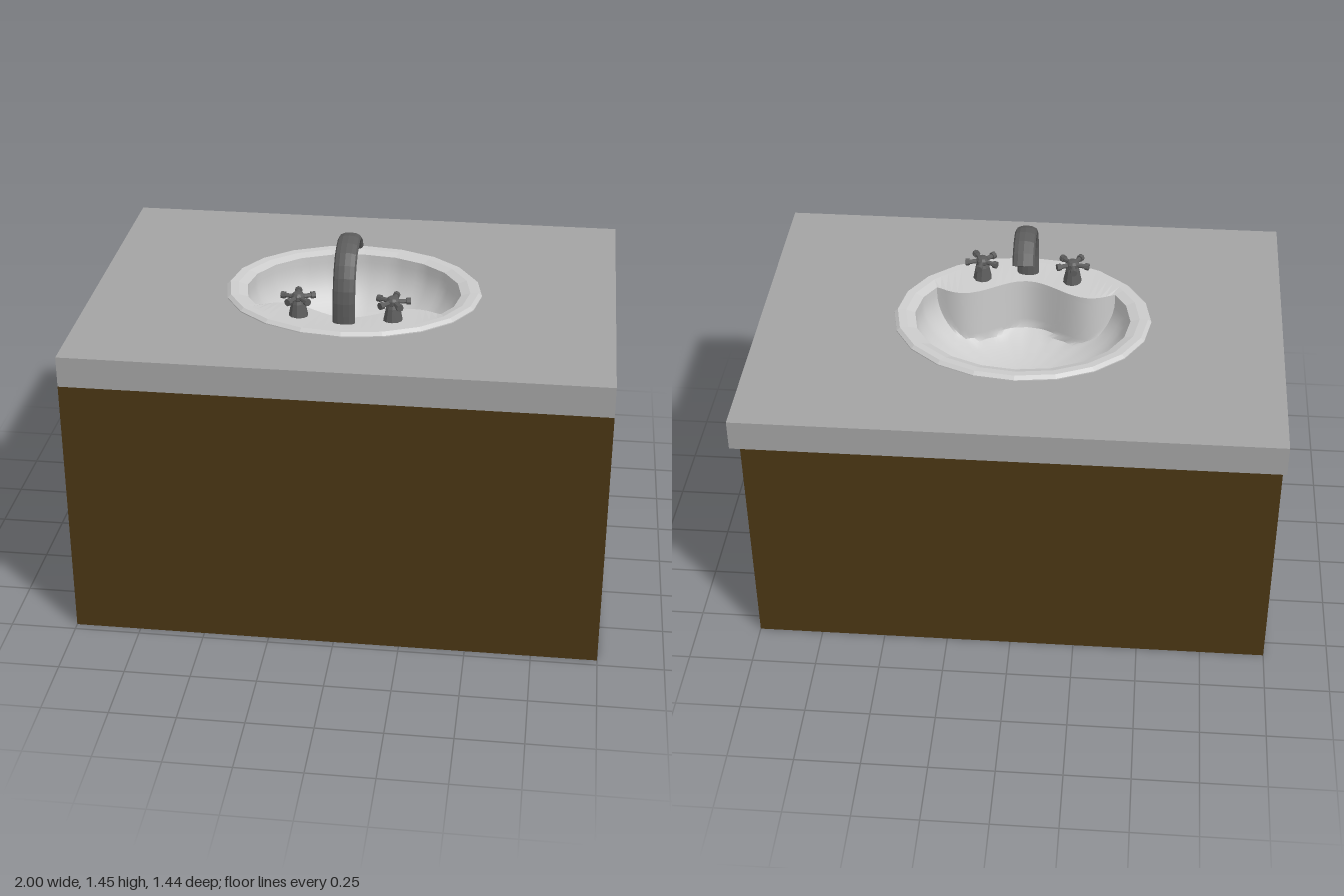
import * as THREE from 'three';
import { toCreasedNormals } from 'three/addons/utils/BufferGeometryUtils.js';

const SINK_X = -0.005, SINK_Z = 0.02, TOP = 1.155;

function material(color, flatShading = false, side = THREE.FrontSide) {
  return new THREE.MeshStandardMaterial({ color, flatShading, side });
}

function addMesh(parent, name, geometry, mat) {
  const mesh = new THREE.Mesh(geometry, mat);
  mesh.name = name;
  parent.add(mesh);
  return mesh;
}

// Skin a list of closed rings, each an array of [x, y, z]
function loft(rings) {
  const n = rings[0].length, index = [];
  for (let i = 0; i < rings.length - 1; i++) {
    for (let j = 0; j < n; j++) {
      const k = (j + 1) % n;
      const a = i * n + j, b = i * n + k, c = a + n, d = b + n;
      index.push(a, c, b, b, c, d);
    }
  }
  const geometry = new THREE.BufferGeometry();
  geometry.setAttribute('position', new THREE.Float32BufferAttribute(rings.flat(2), 3));
  geometry.setIndex(index);
  geometry.computeVertexNormals();
  return geometry;
}

// Twenty-sided oval ring, finely sampled along each side
const SIDES = 20, STEPS = 4;
function oval(rx, rz, y, shape = p => p) {
  const ring = [];
  for (let i = 0; i < SIDES * STEPS; i++) {
    const a = Math.floor(i / STEPS) * Math.PI * 2 / SIDES, b = a + Math.PI * 2 / SIDES;
    const f = (i % STEPS) / STEPS;
    const x = rx * THREE.MathUtils.lerp(Math.cos(a), Math.cos(b), f);
    const z = rz * THREE.MathUtils.lerp(Math.sin(a), Math.sin(b), f);
    ring.push(shape([x, y, z + SINK_Z]));
  }
  return ring;
}

// Wavy edge of the tap deck cuts off the front of the basin
function deckCut([x, y, z]) {
  return [x, y, Math.min(z, 0.218 + 0.052 * Math.cos(Math.PI * x / 0.25))];
}

function createSink() {
  const sink = new THREE.Group();
  sink.name = 'sink';
  sink.position.x = SINK_X;

  addMesh(sink, 'sinkRim', loft([
    oval(0.495, 0.415, TOP - 0.005),
    oval(0.495, 0.415, TOP + 0.004),
    oval(0.482, 0.402, TOP + 0.016),
    oval(0.45, 0.374, TOP + 0.014),
    oval(0.415, 0.345, TOP + 0.003, deckCut),
  ]), material(0xcccccc, true));

  // Basin: short upright lip, then a rounded bowl
  const rings = [oval(0.415, 0.345, TOP + 0.003, deckCut)];
  for (let i = 0; i <= 16; i++) {
    const a = i / 16 * Math.PI / 2;
    const s = Math.max(Math.cos(a), 0.001);
    rings.push(oval(0.415 * s, 0.345 * s, 1.125 - 0.26 * Math.sin(a), deckCut));
  }
  addMesh(sink, 'basin', toCreasedNormals(loft(rings), 0.6), material(0xcccccc));

  const drain = addMesh(sink, 'drain', new THREE.CylinderGeometry(0.064, 0.064, 0.01, 24), material(0xcccccc));
  drain.scale.z = 0.83;
  drain.position.set(0, 0.869, SINK_Z);
  return sink;
}

// Flattened gooseneck, swept along a curve in the z-y plane
function createSpout(metal) {
  const curve = new THREE.CatmullRomCurve3([
    [0.327, 1.155], [0.327, 1.27], [0.305, 1.34], [0.265, 1.395], [0.215, 1.42],
    [0.165, 1.429], [0.12, 1.42], [0.085, 1.397], [0.06, 1.362],
  ].map(([z, y]) => new THREE.Vector3(0, y, z)));
  const rings = [], steps = 11, sides = 12;
  const addRing = (t, size) => {
    const p = curve.getPointAt(t), d = curve.getTangentAt(t), ring = [];
    for (let j = 0; j < sides; j++) {
      const a = j / sides * Math.PI * 2, r = 0.019 * size * Math.sin(a);
      ring.push([0.042 * size * Math.cos(a), p.y - d.z * r, p.z + d.y * r]);
    }
    rings.push(ring);
  };
  for (let i = 0; i <= steps; i++) addRing(i / steps, 1);
  addRing(1, 0.7);
  addRing(1, 0.001);
  const spout = new THREE.Group();
  spout.name = 'spout';
  spout.position.x = SINK_X;
  addMesh(spout, 'spoutNeck', loft(rings), metal);
  return spout;
}

// Tap handle: flared base, hub and five knobbed arms
function createHandle(name, x, metal) {
  const handle = new THREE.Group();
  handle.name = name;
  handle.position.set(x, TOP, 0.28);
  const base = [[0.039, 0], [0.036, 0.015], [0.027, 0.06], [0.022, 0.072], [0.025, 0.075],
    [0.025, 0.09], [0.018, 0.1], [0, 0.103]].map(([r, y]) => new THREE.Vector2(r, y));
  addMesh(handle, 'handleBase', new THREE.LatheGeometry(base, 10), metal);
  for (let i = 0; i < 5; i++) {
    const arm = new THREE.Group();
    arm.name = 'handleArm';
    arm.position.y = 0.083;
    arm.rotation.y = i / 5 * Math.PI * 2 + (x > 0 ? 0.2 : Math.PI - 0.2);
    for (const [part, r, length, at] of [['armRod', 0.009, 0.05, 0.03], ['armTip', 0.014, 0.016, 0.058]]) {
      const rod = addMesh(arm, part, new THREE.CylinderGeometry(r, r, length, 8), metal);
      rod.rotation.z = Math.PI / 2;
      rod.position.x = at;
    }
    handle.add(arm);
  }
  return handle;
}

export function createModel() {
  const model = new THREE.Group();
  model.name = 'vanitySink';

  // Cabinet, open at the top beneath the counter
  const box = new THREE.BoxGeometry(2, 1.037, 1.292);
  const faces = Array.from(box.index.array);
  faces.splice(12, 6);
  box.setIndex(faces);
  box.clearGroups();
  addMesh(model, 'cabinet', box, material(0x4a3614, false, THREE.DoubleSide)).position.set(0, 0.5185, 0.074);

  // Counter slab with an oval cut-out
  const slab = new THREE.Shape([[-1, -0.72], [1, -0.72], [1, 0.72], [-1, 0.72]].map(p => new THREE.Vector2(...p)));
  const hole = new THREE.Path();
  hole.absellipse(SINK_X, SINK_Z, 0.465, 0.385, 0, Math.PI * 2, true);
  slab.holes.push(hole);
  const slabGeometry = new THREE.ExtrudeGeometry(slab, { depth: 0.118, bevelEnabled: false, curveSegments: 40 });
  slabGeometry.rotateX(Math.PI / 2);
  addMesh(model, 'counter', slabGeometry, material(0xa3a3a3)).position.y = TOP;

  model.add(createSink());

  const metal = material(0x5c5c5c, true);
  model.add(createSpout(metal));
  for (const [name, side] of [['leftHandle', 1], ['rightHandle', -1]]) {
    model.add(createHandle(name, SINK_X + side * 0.178, metal));
  }
  return model;
}
